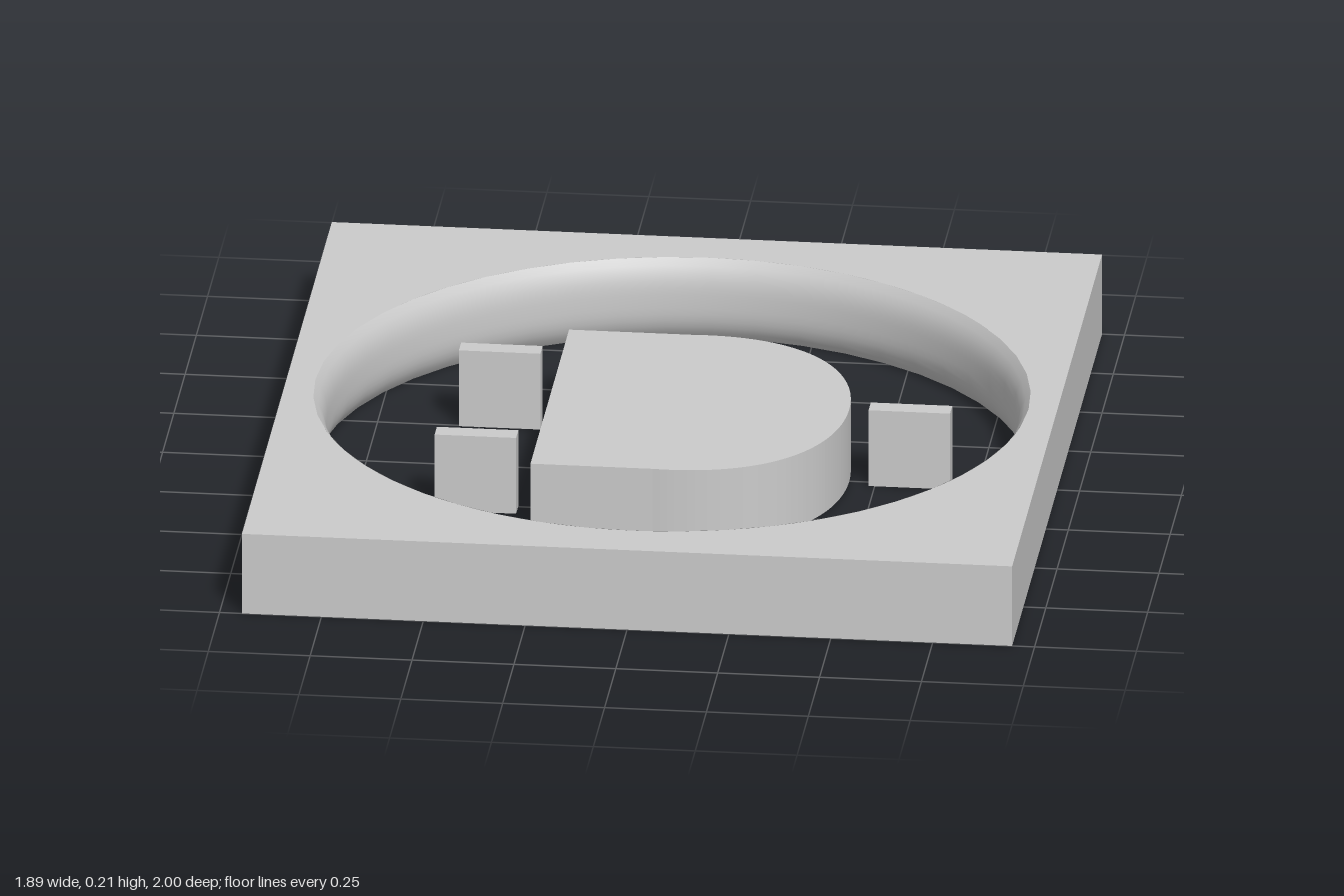
import * as THREE from 'three';

const material = new THREE.MeshStandardMaterial({ color: 0xcccccc, side: THREE.DoubleSide });
const HEIGHT = 0.21, HOLE = 0.875, THROAT = 0.845, SIDES = 48;

function addMesh(parent, name, geometry) {
  const mesh = new THREE.Mesh(geometry, material);
  mesh.name = name;
  parent.add(mesh);
  return mesh;
}

// Upright extrusion of a plan outline
function extrudeUp(shape, depth) {
  return new THREE.ExtrudeGeometry(shape, { depth, bevelEnabled: false, curveSegments: SIDES })
    .rotateX(-Math.PI / 2);
}

// Keep only the vertices from start up to end
function keepRange(geometry, start, end) {
  for (const key of ['position', 'normal', 'uv']) {
    const a = geometry.getAttribute(key), n = a.itemSize;
    geometry.setAttribute(key, new THREE.BufferAttribute(a.array.slice(start * n, end * n), n));
  }
  geometry.clearGroups();
  return geometry;
}

// Hollow block, open underneath: the lower lid comes first in an extrusion
function openBlock(shape, depth) {
  const geometry = extrudeUp(shape, depth);
  return keepRange(geometry, geometry.groups[0].count / 2, Infinity);
}

function rectangle(w, d) {
  return new THREE.Shape([[-w, -d], [w, -d], [w, d], [-w, d]]
    .map(([x, y]) => new THREE.Vector2(x / 2, y / 2)));
}

export function createModel() {
  const model = new THREE.Group();
  model.name = 'framedSocket';

  // Square plate with a round opening; the ring below replaces the hole's wall
  const plate = rectangle(1.89, 2);
  plate.holes.push(new THREE.Path().absarc(0, 0, HOLE, 0, Math.PI * 2, true));
  const plateGeometry = extrudeUp(plate, HEIGHT);
  const lids = plateGeometry.groups[0].count;
  addMesh(model, 'plate', keepRange(plateGeometry, 0, lids + 4 * 6));

  // Opening wall, flaring out at both rims
  const profile = [];
  for (let i = 0; i <= 12; i++) {
    const t = 1 - i / 6;
    profile.push(new THREE.Vector2(
      THROAT + (HOLE - THROAT) * Math.abs(t) ** 3, HEIGHT * (t + 1) / 2));
  }
  addMesh(model, 'openingRing', new THREE.LatheGeometry(profile, SIDES));

  // Central block: flat on one side, rounded on the other
  const block = new THREE.Shape();
  block.moveTo(-0.3, -0.43);
  block.lineTo(0, -0.43);
  block.bezierCurveTo(0.29, -0.45, 0.435, -0.25, 0.435, 0);
  block.bezierCurveTo(0.435, 0.25, 0.29, 0.45, 0, 0.43);
  block.lineTo(-0.3, 0.43);
  block.closePath();
  addMesh(model, 'centralBlock', openBlock(block, 0.19));

  // Three flat pins around the block
  const pinSpots = [['pinBack', -0.45, -0.27], ['pinFront', -0.45, 0.27], ['pinLeft', 0.585, 0]];
  for (const [name, x, z] of pinSpots) {
    addMesh(model, name, openBlock(rectangle(0.2, 0.05), 0.2)).position.set(x, 0, z);
  }
  return model;
}
